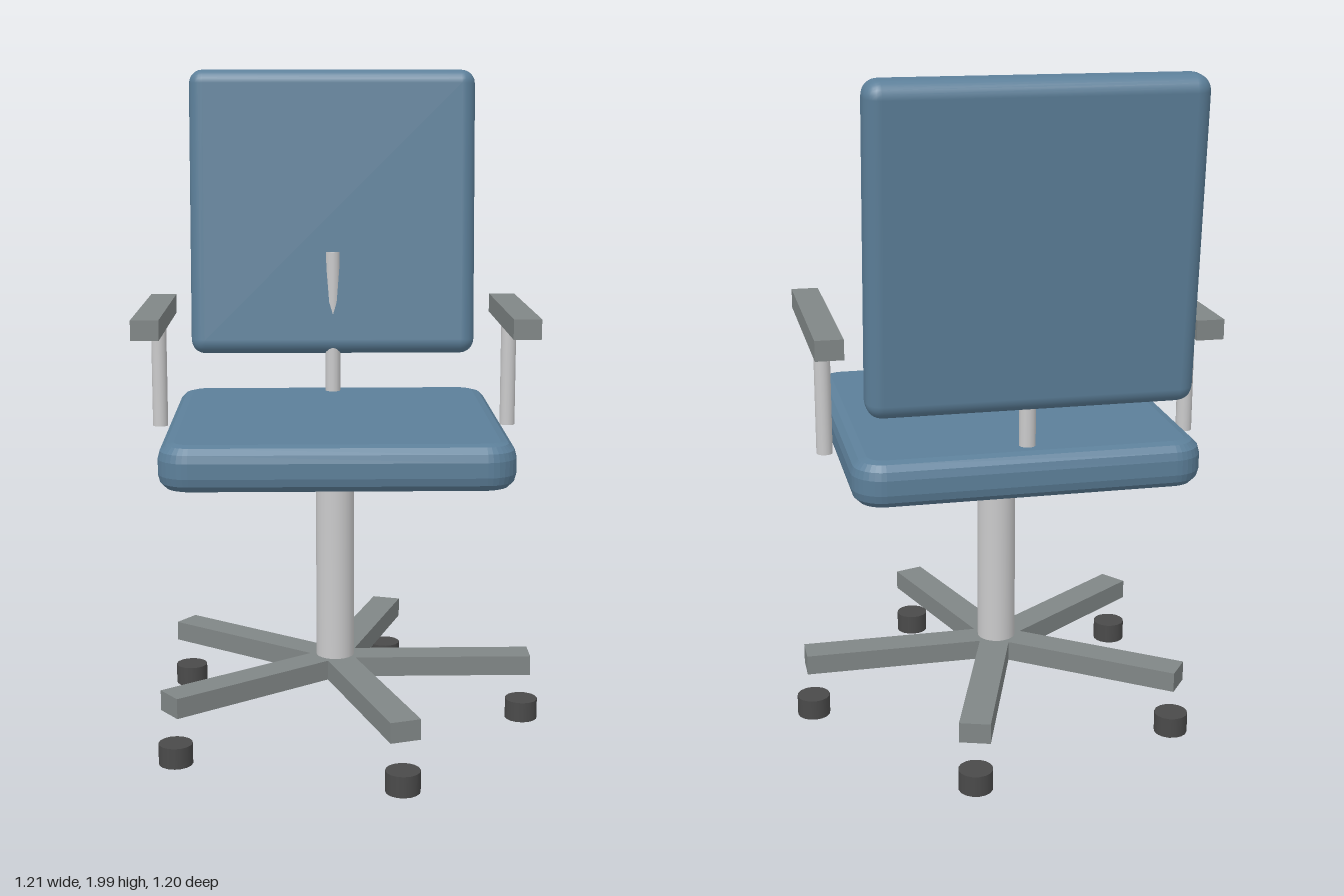
import * as THREE from 'three';
import { RoundedBoxGeometry } from 'three/addons/geometries/RoundedBoxGeometry.js';

const mat = (name, color) => {
  const m = new THREE.MeshStandardMaterial({ color });
  m.name = name;
  return m;
};

// Rounded square cushion lying flat, with bevelled rims, centred on its origin
function cushionGeometry(size, height, corner, bevel) {
  const h = size / 2 - bevel, r = corner - bevel;
  const s = new THREE.Shape();
  s.moveTo(-h + r, -h);
  s.absarc(h - r, -h + r, r, -Math.PI / 2, 0);
  s.absarc(h - r, h - r, r, 0, Math.PI / 2);
  s.absarc(-h + r, h - r, r, Math.PI / 2, Math.PI);
  s.absarc(-h + r, -h + r, r, Math.PI, Math.PI * 1.5);
  const g = new THREE.ExtrudeGeometry(s, {
    depth: height - 2 * bevel, bevelSize: bevel, bevelThickness: bevel,
    bevelSegments: 3, curveSegments: 4,
  });
  return g.center().rotateX(-Math.PI / 2);
}

export function createModel() {
  const fabric = mat('blue fabric', 0x5c7f99);
  const grey = mat('grey plastic', 0x808686);
  const metal = mat('light metal', 0xcacacb);
  const rubber = mat('dark rubber', 0x4a4a4a);

  const chair = new THREE.Group();
  chair.name = 'officeChair';
  chair.position.x = -0.027; // the swivel axis sits slightly off centre
  const add = (name, geometry, material, x, y, z) => {
    const mesh = new THREE.Mesh(geometry, material);
    mesh.name = name;
    mesh.position.set(x, y, z);
    chair.add(mesh);
    return mesh;
  };
  // Upright cylinder between two heights
  const post = (name, material, r, y0, y1, x, z, sides = 24) =>
    add(name, new THREE.CylinderGeometry(r, r, y1 - y0, sides), material, x, (y0 + y1) / 2, z);

  // Seat, and backrest leaning backwards
  add('seat', cushionGeometry(0.995, 0.133, 0.09, 0.045), fabric, 0, 0.902, 0);
  const back = add('backrest', new RoundedBoxGeometry(0.915, 0.907, 0.118, 3, 0.045), fabric, 0, 1.541, -0.464);
  back.rotation.x = -0.08;
  post('backPost', metal, 0.024, 0.9, 1.42, 0, -0.403, 12);

  // Swivel column and mounting plate
  post('column', metal, 0.058, 0.155, 0.8, 0, 0);
  post('seatPlate', metal, 0.1, 0.825, 0.86, 0, 0);

  // Armrests
  for (const [side, x] of [['left', 0.54], ['right', -0.54]]) {
    add(side + 'Armrest', new THREE.BoxGeometry(0.08, 0.058, 0.64), grey, x, 1.26, -0.042);
    post(side + 'ArmPost', metal, 0.0235, 0.903, 1.235, x, -0.159, 16);
  }

  // Five-star base with casters
  for (let i = 0; i < 5; i++) {
    const a = (i * Math.PI * 2) / 5;
    const leg = add('baseLeg' + (i + 1), new THREE.BoxGeometry(0.6, 0.06, 0.09).translate(0.3, 0, 0), grey, 0, 0.183, 0);
    leg.rotation.y = a;
    post('caster' + (i + 1), rubber, 0.05, 0, 0.062, 0.58 * Math.cos(a), -0.58 * Math.sin(a), 16);
  }

  const model = new THREE.Group();
  model.name = 'chairModel';
  model.add(chair);
  return model;
}
